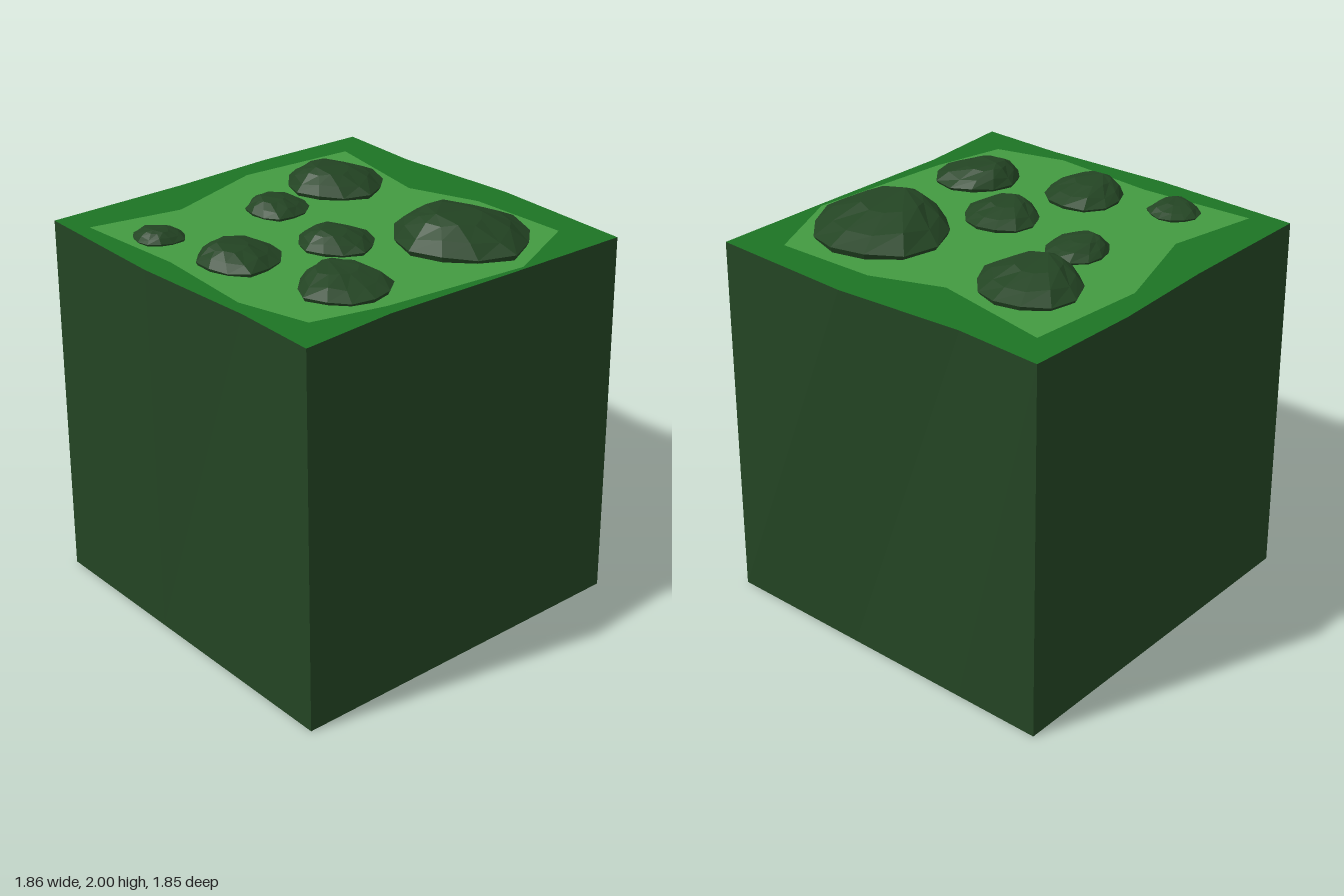
import * as THREE from 'three';

const TOP = 1.84;
const material = (color) => new THREE.MeshStandardMaterial({ color, flatShading: true, roughness: 0.9 });
const bushGreen = material(0x234423);
const rimGreen = material(0x1c7324);
const grassGreen = material(0x439a41);

// Uneven outlines on the ground plane, as [x, z], clockwise from the back left corner
const blockOutline = [
  [-0.915, -0.91], [-0.2, -0.905], [0.33, -0.925], [0.895, -0.905], [0.875, -0.475], [0.925, 0.17],
  [0.9, 0.905], [0.23, 0.885], [-0.43, 0.86], [-0.91, 0.893], [-0.9, 0.47], [-0.935, -0.17],
];
const grassOutline = [
  [-0.84, -0.735], [-0.39, -0.645], [0.13, -0.81], [0.72, -0.76], [0.61, -0.165], [0.74, 0.175],
  [0.755, 0.68], [0.335, 0.87], [-0.39, 0.795], [-0.745, 0.71], [-0.84, 0.365], [-0.8, -0.165],
];

// Faceted skin through rings of points, closed by a fan at each given end point
function loft(rings, bottom, top) {
  const n = rings[0].length;
  const pos = [];
  const tri = (...corners) => corners.forEach((c) => pos.push(...c));
  for (let i = 0; i < n; i++) {
    const j = (i + 1) % n;
    for (let k = 0; k < rings.length - 1; k++) {
      const low = rings[k], high = rings[k + 1];
      tri(low[j], low[i], high[i]);
      tri(low[j], high[i], high[j]);
    }
    if (bottom) tri(bottom, rings[0][i], rings[0][j]);
    if (top) tri(rings.at(-1)[j], rings.at(-1)[i], top);
  }
  const geometry = new THREE.BufferGeometry();
  geometry.setAttribute('position', new THREE.Float32BufferAttribute(pos, 3));
  geometry.computeVertexNormals();
  return geometry;
}

function addMesh(parent, name, geometry, mat) {
  const mesh = new THREE.Mesh(geometry, mat);
  mesh.name = name;
  parent.add(mesh);
  return mesh;
}

// Flat, upward-facing area at the top of the block
function flatArea(outline, hole) {
  const points = (list) => list.map(([x, z]) => new THREE.Vector2(x, -z));
  const shape = new THREE.Shape(points(outline));
  if (hole) shape.holes.push(new THREE.Path(points(hole)));
  return new THREE.ShapeGeometry(shape).rotateX(-Math.PI / 2).translate(0, TOP, 0);
}

// Block sides: straight square foot rising to the uneven top outline
function blockGeometry() {
  const half = 0.92;
  const foot = blockOutline.map(([x, z]) => [
    Math.abs(x) > 0.8 ? Math.sign(x) * half : x, 0,
    Math.abs(z) > 0.8 ? Math.sign(z) * half : z,
  ]);
  return loft([foot, blockOutline.map(([x, z]) => [x, TOP, z])], [0, 0, 0]);
}

// Low bush of unit radius with its peak leaning towards -x
function bushGeometry() {
  const radii = [0.98, 0.95, 0.93, 1.04, 0.92, 0.91, 0.96, 0.92, 0.95, 1.03, 1.05, 0.99];
  // [size, height, lean, wobble]
  const levels = [[0.96, 0, 0, 0], [1, 0.07, 0, 0.02], [0.78, 0.24, 0.09, 0.035], [0.46, 0.395, 0.22, 0.02]];
  const rings = levels.map(([size, height, lean, wobble], k) => radii.map((r, i) => {
    const a = (i / radii.length) * Math.PI * 2;
    return [
      Math.cos(a) * r * size - lean,
      height + wobble * Math.sin(i * 2.3 + k * 1.7),
      Math.sin(a) * r * size,
    ];
  }));
  return loft(rings, null, [-0.48, 0.475, 0]);
}

export function createModel() {
  const model = new THREE.Group();
  model.name = 'hedgeBlock';

  addMesh(model, 'block', blockGeometry(), bushGreen);
  addMesh(model, 'grassRim', flatArea(blockOutline, grassOutline), rimGreen);
  addMesh(model, 'grassPatch', flatArea(grassOutline), grassGreen);

  // Bushes: [x, z, radius, turn]
  const bushes = [
    [0.355, 0.46, 0.335, 0], [0.37, -0.43, 0.248, 0], [-0.05, -0.355, 0.155, -0.6],
    [-0.67, -0.43, 0.124, 0.5], [-0.56, 0.01, 0.2, -0.4], [-0.11, 0.14, 0.186, 0],
    [-0.41, 0.535, 0.212, -Math.PI / 2],
  ];
  const geometry = bushGeometry();
  for (const [x, z, radius, turn] of bushes) {
    const bush = addMesh(model, 'bush', geometry, bushGreen);
    bush.position.set(x, TOP, z);
    bush.scale.setScalar(radius);
    bush.rotation.y = turn;
  }
  return model;
}
